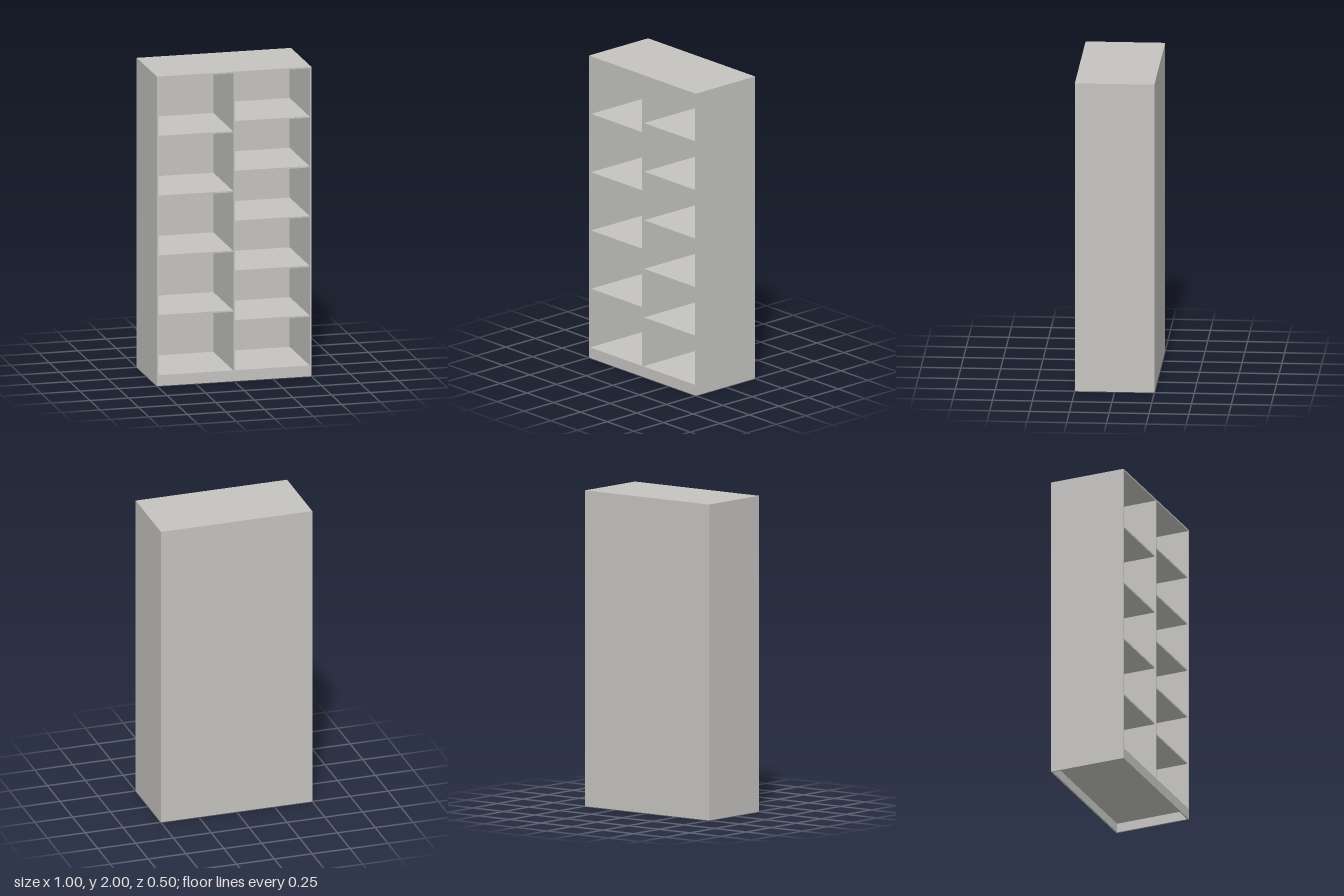
import * as THREE from 'three';

const W = 1, H = 2, D = 0.5;   // overall size
const T = 0.01;                // panel thickness
const BACK = 0.006;            // back sheet thickness
const FLOOR = 0.07;            // top of the bottom board

export function createModel() {
  const group = new THREE.Group();
  group.name = 'bookcase';
  const panel = new THREE.MeshStandardMaterial({ color: 0xc4c3c0 });
  panel.name = 'grey panel';

  // box given by its minimum and maximum corners
  function board(name, x0, x1, y0, y1, z0, z1) {
    const mesh = new THREE.Mesh(new THREE.BoxGeometry(x1 - x0, y1 - y0, z1 - z0), panel);
    mesh.position.set((x0 + x1) / 2, (y0 + y1) / 2, (z0 + z1) / 2);
    mesh.name = name;
    group.add(mesh);
  }

  const inner = W / 2 - T, front = D / 2, back = -D / 2;

  // carcass
  board('topPanel', -W / 2, W / 2, H - T, H, back, front);
  board('leftSide', inner, W / 2, 0, H - T, back, front);
  board('rightSide', -W / 2, -inner, 0, H - T, back, front);
  board('bottomBoard', -inner, inner, FLOOR - T, FLOOR, back, front);
  board('backPanel', -inner, inner, FLOOR, H - T, back, back + BACK);
  board('divider', -T / 2, T / 2, FLOOR, H - T, back + BACK, front);

  // hollow plinth below the bottom board
  board('frontPlinth', -inner, inner, 0, FLOOR - T, front - T, front);
  board('backPlinth', -inner, inner, 0, FLOOR - T, back, back + T);

  // evenly spaced shelves in one column
  function shelves(name, x0, x1, bays) {
    const gap = (H - T - FLOOR - (bays - 1) * T) / bays;
    for (let i = 1; i < bays; i++) {
      const y = FLOOR + i * gap + (i - 1) * T;
      board(name + i, x0, x1, y, y + T, back + BACK, front - 0.01);
    }
  }
  shelves('rightShelf', -inner, -T / 2, 5);
  shelves('leftShelf', T / 2, inner, 6);

  return group;
}
